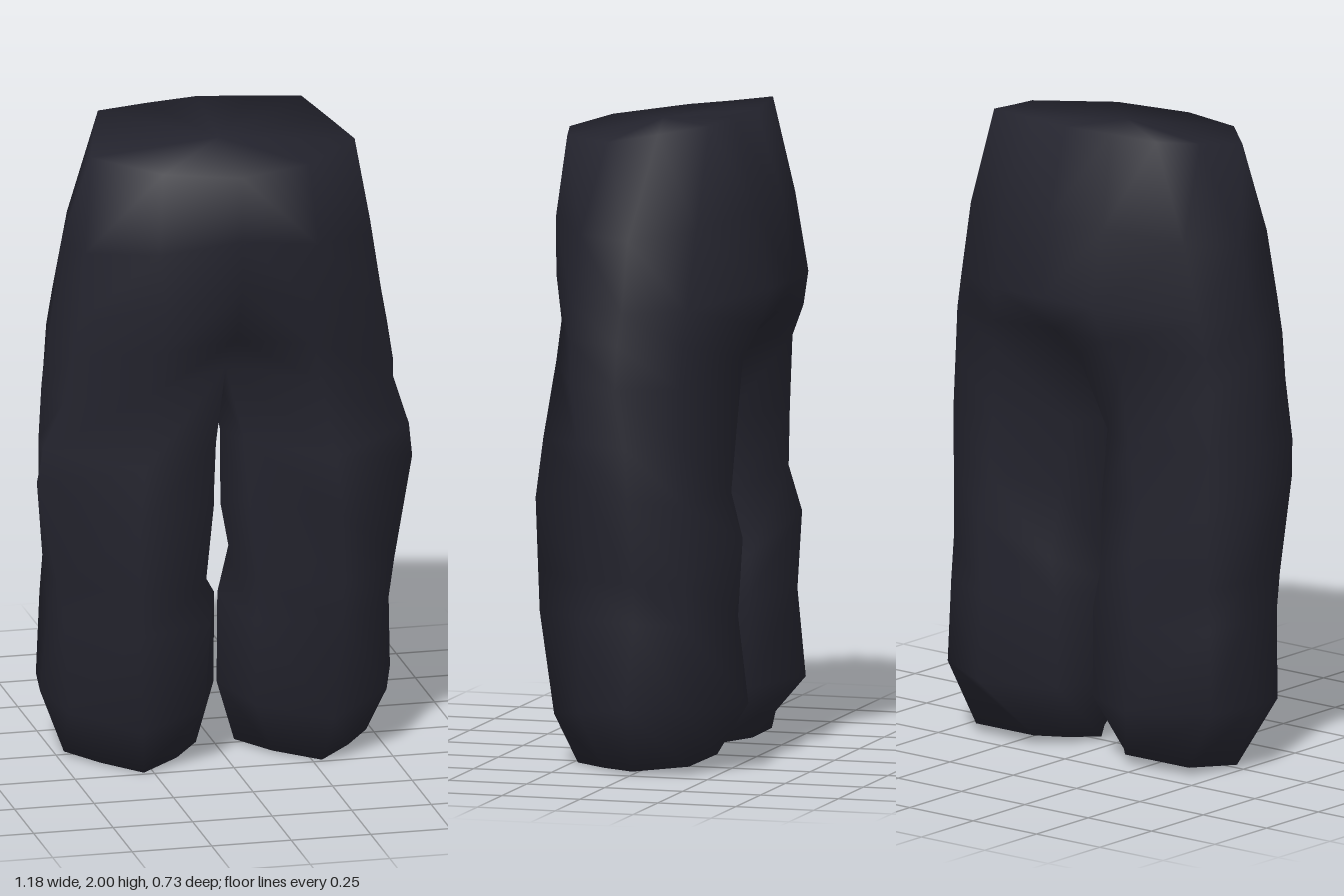
import * as THREE from 'three';
import { mergeVertices } from 'three/addons/utils/BufferGeometryUtils.js';

// Half cross-sections: front centre, round the model's left side, to back centre
const hips = [
  [[0, 1.922, .35], [.23, 1.93, .285], [.415, 1.942, .1], [.37, 1.966, -.05], [.32, 1.993, -.2], [.16, 1.998, -.226], [0, 2, -.25]],
  [[0, 1.72, .36], [.25, 1.68, .315], [.45, 1.66, .175], [.485, 1.65, .01], [.42, 1.68, -.19], [.2, 1.72, -.31], [0, 1.72, -.335]],
  [[0, 1.56, .363], [.23, 1.5, .32], [.475, 1.45, .195], [.517, 1.43, .02], [.47, 1.44, -.175], [.19, 1.48, -.355], [0, 1.48, -.362]],
  [[0, 1.38, .28], [.24, 1.36, .3], [.495, 1.34, .195], [.533, 1.33, .03], [.49, 1.33, -.17], [.22, 1.37, -.33], [0, 1.37, -.3]],
  [[0, 1.25, .14], [.26, 1.24, .31], [.515, 1.2, .185], [.553, 1.2, .03], [.5, 1.2, -.165], [.25, 1.27, -.285], [0, 1.27, -.19]],
];
// Closed leg cross-sections, the last point on the inner side
const legs = [
  [...hips[4], [0, 1.2, -.03]],
  [[.045, 1.03, .2], [.3, 1, .34], [.575, 1.03, .145], [.555, 1.02, 0], [.505, 1.02, -.17], [.27, 1.04, -.27], [.07, 1.03, -.13], [.008, 1.02, .03]],
  [[.055, .84, .21], [.32, .82, .358], [.59, .92, .125], [.552, .85, -.01], [.5, .84, -.175], [.29, .86, -.26], [.08, .82, -.17], [.01, .78, .03]],
  [[.085, .58, .23], [.32, .6, .35], [.53, .6, .14], [.535, .6, -.02], [.5, .6, -.175], [.3, .72, -.3], [.1, .61, -.2], [.05, .57, .02]],
  [[.07, .46, .23], [.32, .47, .345], [.51, .48, .15], [.52, .47, -.02], [.51, .47, -.175], [.3, .48, -.285], [.07, .48, -.2], [.005, .49, .01]],
  [[.08, .18, .2], [.3, .15, .305], [.5, .19, .165], [.55, .21, 0], [.52, .21, -.18], [.29, .21, -.315], [.07, .2, -.2], [.005, .2, 0]],
  [[.15, .005, .125], [.28, 0, .235], [.39, .005, .12], [.475, .01, 0], [.42, .025, -.165], [.18, .03, -.18], [.11, .02, -.1], [.06, .01, 0]],
];

// Join successive rings from top to bottom
function loft(rings, closed) {
  const tris = [];
  for (let r = 0; r < rings.length - 1; r++) {
    const n = rings[r].length;
    for (let i = 0; i < (closed ? n : n - 1); i++) {
      const j = (i + 1) % n;
      const a = rings[r][i], b = rings[r][j], c = rings[r + 1][i], d = rings[r + 1][j];
      tris.push([a, c, d], [a, d, b]);
    }
  }
  return tris;
}

// Close a ring with triangles round a centre
const fan = (centre, ring) => ring.map((p, i) => [centre, p, ring[(i + 1) % ring.length]]);
const flip = tris => tris.map(([a, b, c]) => [a, c, b]);
const mirror = tris => flip(tris).map(t => t.map(([x, y, z]) => [x === 0 ? 0 : -x, y, z]));

export function createModel() {
  const group = new THREE.Group();
  group.name = 'trousers';
  const cloth = new THREE.MeshStandardMaterial({ color: 0x23232d });
  cloth.name = 'dark navy cloth';

  // Left half: sloping waist top, hips, leg and leg end
  const half = [
    ...fan([0, 1.962, .05], hips[0]).slice(0, -1),
    ...loft(hips, false),
    ...loft(legs, true),
    ...flip(fan([.28, .015, 0], legs[legs.length - 1])),
  ];

  // One smooth skin over both halves
  let skin = new THREE.BufferGeometry();
  const tris = [...half, ...mirror(half)];
  skin.setAttribute('position', new THREE.Float32BufferAttribute(tris.flat(2), 3));
  skin = mergeVertices(skin);
  skin.computeVertexNormals();
  const body = new THREE.Mesh(skin, cloth);
  body.name = 'trouserBody';
  group.add(body);
  return group;
}
